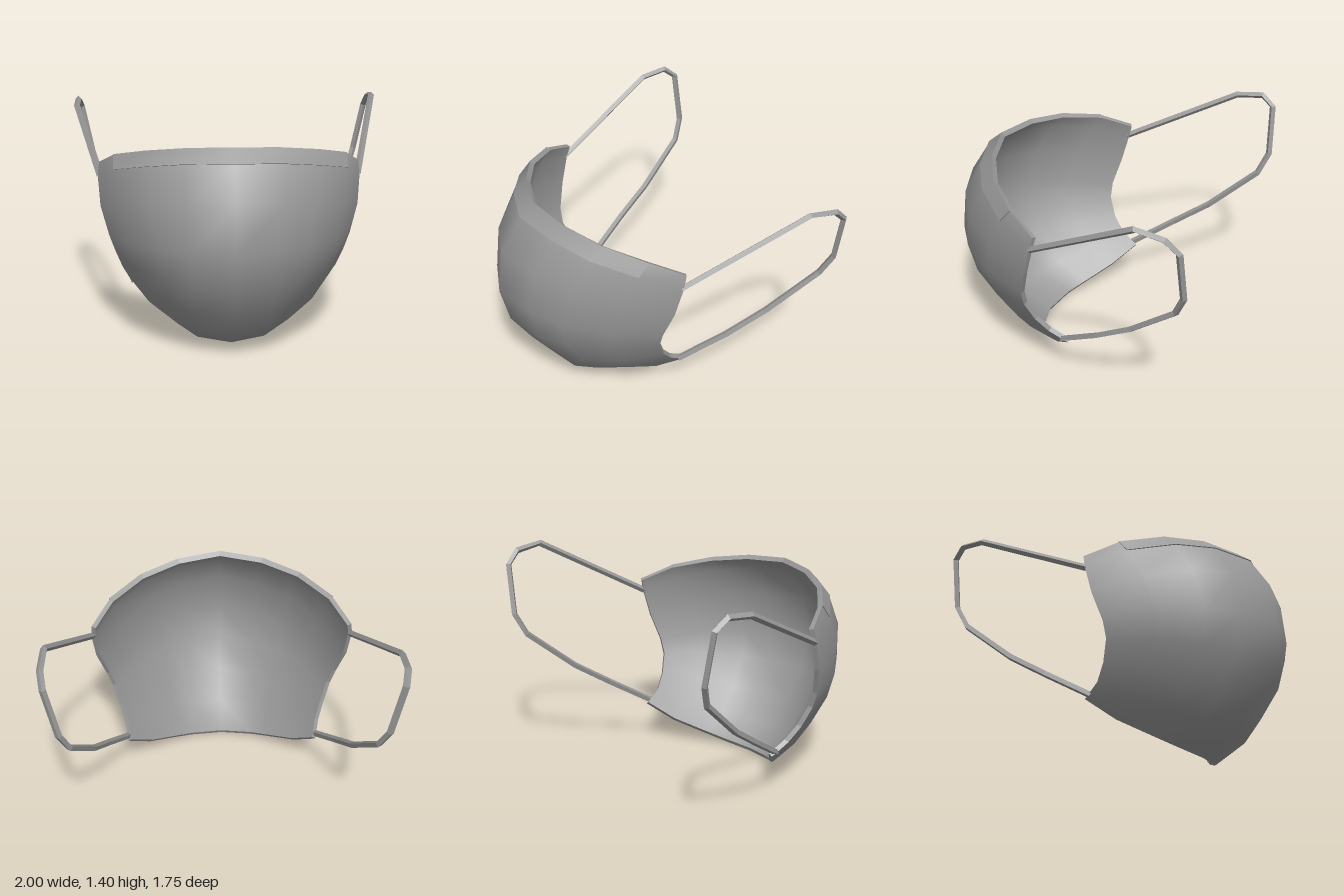
import * as THREE from 'three';

// Rows of the mask from top to bottom: centre [y, z] and left edge [x, y, z]
const CENTRE = [[1.265, 0.62], [1.19, 0.71], [0.98, 0.84], [0.71, 0.875], [0.48, 0.82], [0.28, 0.69], [0.11, 0.56], [0.005, 0.335]];
const EDGE = [[0.79, 1.08, 0.06], [0.8, 1.0, 0.08], [0.785, 0.82, 0.125], [0.735, 0.65, 0.17],
  [0.7, 0.55, 0.17], [0.66, 0.43, 0.12], [0.625, 0.34, 0.05], [0.6, 0.27, -0.06]];
const ROWS = CENTRE.length, HALF = 4, COLS = 2 * HALF + 1;

// Point of the outer surface at row i, column j (columns run from -x to +x)
function surfacePoint(i, j) {
  const k = i / (ROWS - 1), bulge = Math.sin(Math.PI * k), c = Math.abs(j - HALF);
  const across = [0, 0.34, 0.63 - 0.1 * k, 0.87 - 0.08 * k, 1][c];
  const drop = [0, 0.08, 0.27, 0.57, 1][c];
  const forward = [1, 0.88, 0.66 + 0.05 * bulge, 0.32 + 0.08 * bulge, 0][c];
  const [cy, cz] = CENTRE[i], [ex, ey, ez] = EDGE[i];
  return new THREE.Vector3(Math.sign(j - HALF) * ex * across, cy + (ey - cy) * drop, ez + (cz - ez) * forward);
}

// Smooth sheet over a grid of points
function sheet(grid, flip) {
  const n = grid[0].length, index = [];
  for (let i = 0; i < grid.length - 1; i++) {
    for (let j = 0; j < n - 1; j++) {
      const a = i * n + j, b = a + 1, c = a + n, d = c + 1;
      index.push(...(flip ? [a, b, c, b, d, c] : [a, c, b, b, c, d]));
    }
  }
  const g = new THREE.BufferGeometry().setFromPoints(grid.flat());
  g.setIndex(index);
  g.computeVertexNormals();
  return g;
}

// Flat band closing the gap between the borders of two sheets
function rim(outer, inner) {
  const r = outer.length - 1, c = outer[0].length - 1, loop = [], pts = [];
  for (let j = 0; j < c; j++) loop.push([0, j]);
  for (let i = 0; i < r; i++) loop.push([i, c]);
  for (let j = c; j > 0; j--) loop.push([r, j]);
  for (let i = r; i > 0; i--) loop.push([i, 0]);
  loop.forEach(([i, j], n) => {
    const [u, v] = loop[(n + 1) % loop.length];
    pts.push(outer[i][j], outer[u][v], inner[i][j], outer[u][v], inner[u][v], inner[i][j]);
  });
  const g = new THREE.BufferGeometry().setFromPoints(pts);
  g.computeVertexNormals();
  return g;
}

// Straight-sided path through given points
class Polyline extends THREE.Curve {
  constructor(points) { super(); this.points = points; }
  getPoint(t, target = new THREE.Vector3()) {
    const s = t * (this.points.length - 1), i = Math.min(Math.floor(s), this.points.length - 2);
    return target.lerpVectors(this.points[i], this.points[i + 1], s - i);
  }
  getPointAt(u, target) { return this.getPoint(u, target); }
  getTangentAt(u, target) { return this.getTangent(u, target); }
}

export function createModel() {
  const model = new THREE.Group();
  model.name = 'faceMask';
  const grey = new THREE.MeshStandardMaterial({ color: 0x999999 });
  grey.name = 'greyFabric';
  const add = (parent, name, geometry) => {
    const mesh = new THREE.Mesh(geometry, grey);
    mesh.name = name;
    parent.add(mesh);
  };

  // Cup of the mask, with a lining set in along the normals
  const outer = Array.from({ length: ROWS }, (_, i) => Array.from({ length: COLS }, (_, j) => surfacePoint(i, j)));
  const outerGeometry = sheet(outer, false);
  const normals = outerGeometry.attributes.normal;
  const offset = (d) => outer.map((row, i) => row.map((p, j) =>
    p.clone().addScaledVector(new THREE.Vector3().fromBufferAttribute(normals, i * COLS + j), d)));
  const inner = offset(-0.028);
  const cup = new THREE.Group();
  cup.name = 'cup';
  add(cup, 'outerFabric', outerGeometry);
  add(cup, 'lining', sheet(inner, true));
  add(cup, 'hem', rim(outer, inner));
  model.add(cup);

  // Thin nose band along the top edge
  const part = (grid) => grid.slice(0, 2).map((row) => row.slice(1, COLS - 1));
  const band = part(offset(0.006));
  const noseBand = new THREE.Group();
  noseBand.name = 'noseBand';
  add(noseBand, 'noseBandFace', sheet(band, false));
  add(noseBand, 'noseBandEdge', rim(band, part(outer)));
  model.add(noseBand);

  // Ear loops; the right one sags slightly at the top
  for (const side of [1, -1]) {
    const sag = side < 0 ? 1 : 0;
    const path = [
      [0.785, 0.995, 0.085], [0.975, 1.385 - 0.06 * sag, -0.6], [0.98, 1.36 - 0.015 * sag, -0.765],
      [0.965, 1.285, -0.84], [0.905, 0.98, -0.855], [0.86, 0.85, -0.8],
      [0.765, 0.6, -0.51], [0.7, 0.455, -0.29], [0.595, 0.285, -0.02],
    ].map(([x, y, z]) => new THREE.Vector3(side * x, y, z));
    const loop = new THREE.TubeGeometry(new Polyline(path), path.length - 1, 0.02, 4).toNonIndexed();
    loop.computeVertexNormals();
    add(model, side > 0 ? 'leftEarLoop' : 'rightEarLoop', loop);
  }
  return model;
}
